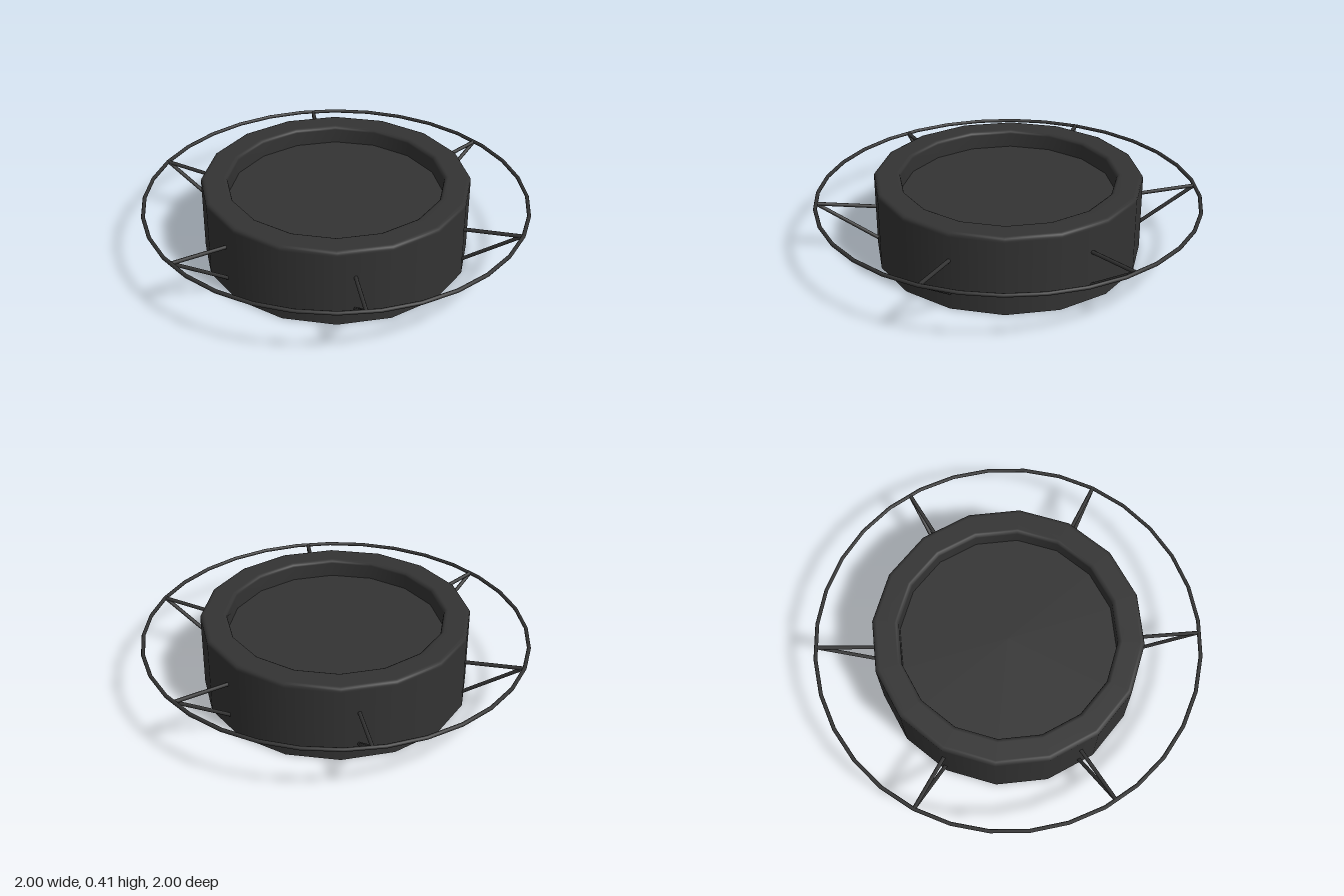
import * as THREE from 'three';

const SIDES = 16, RING_R = 0.99, RING_Y = 0.295, ROD = 0.01;

export function createModel() {
  const model = new THREE.Group();
  model.name = 'firePit';
  const mat = new THREE.MeshStandardMaterial({ color: 0x333333 });
  const shellMat = mat.clone();
  shellMat.side = THREE.DoubleSide;

  const add = (parent, name, geometry, material = mat) => {
    const mesh = new THREE.Mesh(geometry, material);
    mesh.name = name;
    parent.add(mesh);
    return mesh;
  };

  // Rod between two points
  const addRod = (parent, name, a, b) => {
    const dir = b.clone().sub(a);
    const rod = add(parent, name, new THREE.CylinderGeometry(ROD, ROD, dir.length(), 8));
    rod.position.copy(a).add(b).multiplyScalar(0.5);
    rod.quaternion.setFromUnitVectors(new THREE.Vector3(0, 1, 0), dir.normalize());
  };

  // Thin drum wall, open below, folding over the rim into the bowl
  const profile = [
    [0.692, 0], [0.692, 0.39], [0.692, 0.398], [0.688, 0.409], [0.677, 0.414],
    [0.669, 0.414], [0.577, 0.414], [0.569, 0.413], [0.559, 0.407],
    [0.556, 0.397], [0.556, 0.32],
  ].map(([r, y]) => new THREE.Vector2(r, y));
  add(model, 'drum', new THREE.LatheGeometry(profile, SIDES), shellMat);

  // Bowl floor
  const floor = new THREE.CircleGeometry(0.556, SIDES).rotateX(-Math.PI / 2);
  add(model, 'bowlFloor', floor, shellMat).position.y = 0.32;

  // Outer rail
  const rail = new THREE.TorusGeometry(RING_R, ROD, 8, 32).rotateX(Math.PI / 2);
  add(model, 'rail', rail).position.y = RING_Y;

  // Six brackets of two rods each
  for (let i = 0; i < 6; i++) {
    const bracket = new THREE.Group();
    bracket.name = `bracket${i + 1}`;
    bracket.rotation.y = (i * Math.PI) / 3;
    const tip = new THREE.Vector3(0.985, RING_Y, 0);
    addRod(bracket, 'upperRod', new THREE.Vector3(0.672, 0.262, 0), tip);
    addRod(bracket, 'lowerRod', new THREE.Vector3(0.672, 0.075, 0), tip);
    model.add(bracket);
  }
  return model;
}
